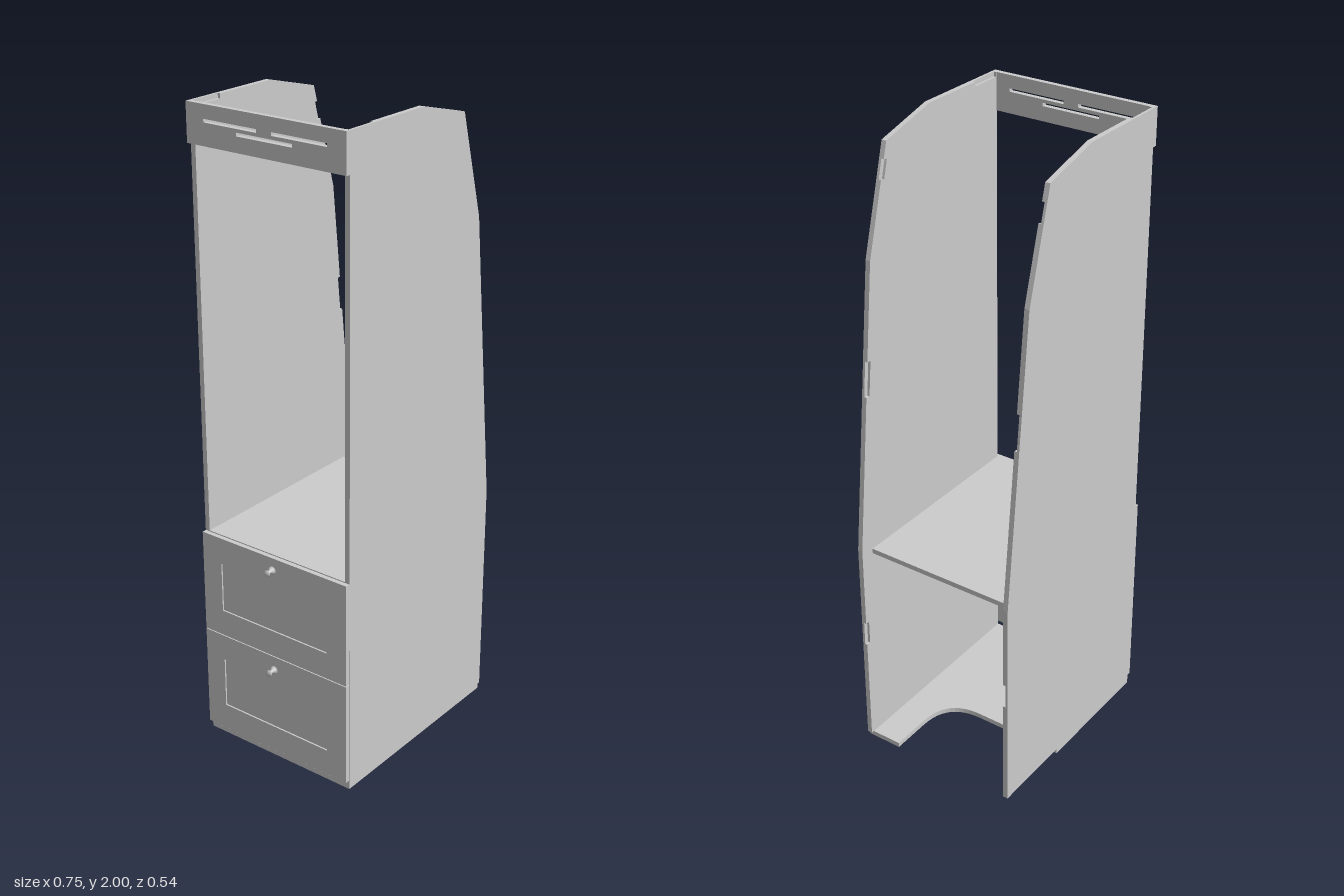
import * as THREE from 'three';

const material = new THREE.MeshStandardMaterial({ color: 0xcccccc, flatShading: true });
const smooth = new THREE.MeshStandardMaterial({ color: 0xcccccc });
const T = 0.016; // board thickness

export function createModel() {
  const model = new THREE.Group();

  function add(name, geometry, x = 0, y = 0, z = 0, parent = model, mat = material) {
    const mesh = new THREE.Mesh(geometry, mat);
    mesh.name = name;
    mesh.position.set(x, y, z);
    parent.add(mesh);
    return mesh;
  }
  const box = (w, h, d) => new THREE.BoxGeometry(w, h, d);
  const shapeOf = (pts) => new THREE.Shape(pts.map((p) => new THREE.Vector2(p[0], p[1])));
  const extrude = (shape, depth) =>
    new THREE.ExtrudeGeometry(shape, { depth, bevelEnabled: false, curveSegments: 12 });
  const rect = (x0, y0, x1, y1) => [[x0, y0], [x1, y0], [x1, y1], [x0, y1]];

  // Corners of a shallow notch between fractions t0 and t1 of the edge a-b
  function notch(a, b, t0, t1, depth = 0.014) {
    const dx = b[0] - a[0], dy = b[1] - a[1], len = Math.hypot(dx, dy);
    const at = (t, d) => [a[0] + dx * t - (dy / len) * d, a[1] + dy * t + (dx / len) * d];
    return [at(t0, 0), at(t0, depth), at(t1, depth), at(t1, 0)];
  }

  // Side panels: plain outer layer, inner layer with notched edges
  function sidePanel(name, side, lowCorner) {
    const low = lowCorner[lowCorner.length - 1];
    const a = [0.372, 0.72], b = [0.275, 1.63], c = [0.185, 1.95], d = [-0.01, 2], e = [-0.33, 2];
    const start = [[-0.33, T], ...lowCorner];
    const group = new THREE.Group();
    group.name = name;
    const outer = shapeOf([...start, a, b, c, d, e]);
    const inner = shapeOf([
      ...start,
      ...notch(low, a, (0.37 - low[1]) / (a[1] - low[1]), (0.45 - low[1]) / (a[1] - low[1])), a,
      ...notch(a, b, 0.55, 0.67), b,
      ...notch(b, c, 0.68, 0.85), c,
      d, ...notch(d, e, 0.67, 0.99), e,
    ]);
    const half = T / 2;
    add('outerLayer', extrude(outer, half), 0, 0, side > 0 ? 0.272 - half : -0.272, group);
    add('innerLayer', extrude(inner, half), 0, 0, side > 0 ? 0.272 - T : -0.272 + half, group);
    model.add(group);
  }
  sidePanel('nearSidePanel', 1, [[0.09, T], [0.09, 0.35], [0.372, 0.35]]);
  sidePanel('farSidePanel', -1, [[0.372, T]]);

  // Insert filling the lower corner of the near side
  add('cornerInsert', box(0.282, 0.334, T), 0.231, 0.183, 0.264, model, smooth);

  // Floor with a rounded cutout at the open side (drawn in x and -z)
  const floor = new THREE.Shape();
  floor.moveTo(-0.33, -0.272);
  floor.lineTo(0.362, -0.272);
  floor.lineTo(0.362, -0.155);
  floor.lineTo(0.23, -0.155);
  floor.quadraticCurveTo(0.1, -0.155, 0.1, -0.025);
  floor.lineTo(0.1, 0.272);
  floor.lineTo(-0.33, 0.272);
  add('floor', extrude(floor, T), 0, 0, 0).rotation.x = -Math.PI / 2;

  // Shelf above the drawers
  add('shelf', box(0.655, T, 0.512), -0.003, 0.695, 0);

  // Boards facing -x: shapes drawn in z and y, extruded outwards
  function facing(name, outline, holes, depth, x, parent) {
    const shape = shapeOf(outline);
    holes.forEach((h) => shape.holes.push(new THREE.Path(h.map((p) => new THREE.Vector2(...p)))));
    add(name, extrude(shape, depth), x, 0, 0, parent).rotation.y = -Math.PI / 2;
  }

  // Top rail with three slots
  facing('topRail', rect(-0.272, 1.885, 0.272, 2), [
    rect(-0.21, 1.95, -0.025, 1.96),
    rect(0.025, 1.95, 0.21, 1.96),
    rect(-0.095, 1.93, 0.095, 1.94),
  ], T, -0.329, model);

  // Drawer fronts: frame, recessed panel and a waisted knob
  const knobProfile = [[0, 0], [0.013, 0], [0.012, 0.004], [0.004, 0.014], [0.01, 0.023], [0.01, 0.027], [0, 0.03]]
    .map((p) => new THREE.Vector2(...p));
  const drawers = [['upperDrawer', 0.368, 0.7, 0.66], ['lowerDrawer', 0.03, 0.365, 0.32]];
  for (const [name, y0, y1, knobY] of drawers) {
    const group = new THREE.Group();
    group.name = name;
    const inset = rect(-0.2, y0 + 0.085, 0.2, y1 - 0.085);
    facing('frame', rect(-0.271, y0, 0.271, y1), [inset], T, -0.329, group);
    facing('recessedPanel', inset, [], T - 0.005, -0.329, group);
    add('knob', new THREE.LatheGeometry(knobProfile, 20), -0.345, knobY, 0, group, smooth).rotation.z = Math.PI / 2;
    model.add(group);
  }
  return model;
}
